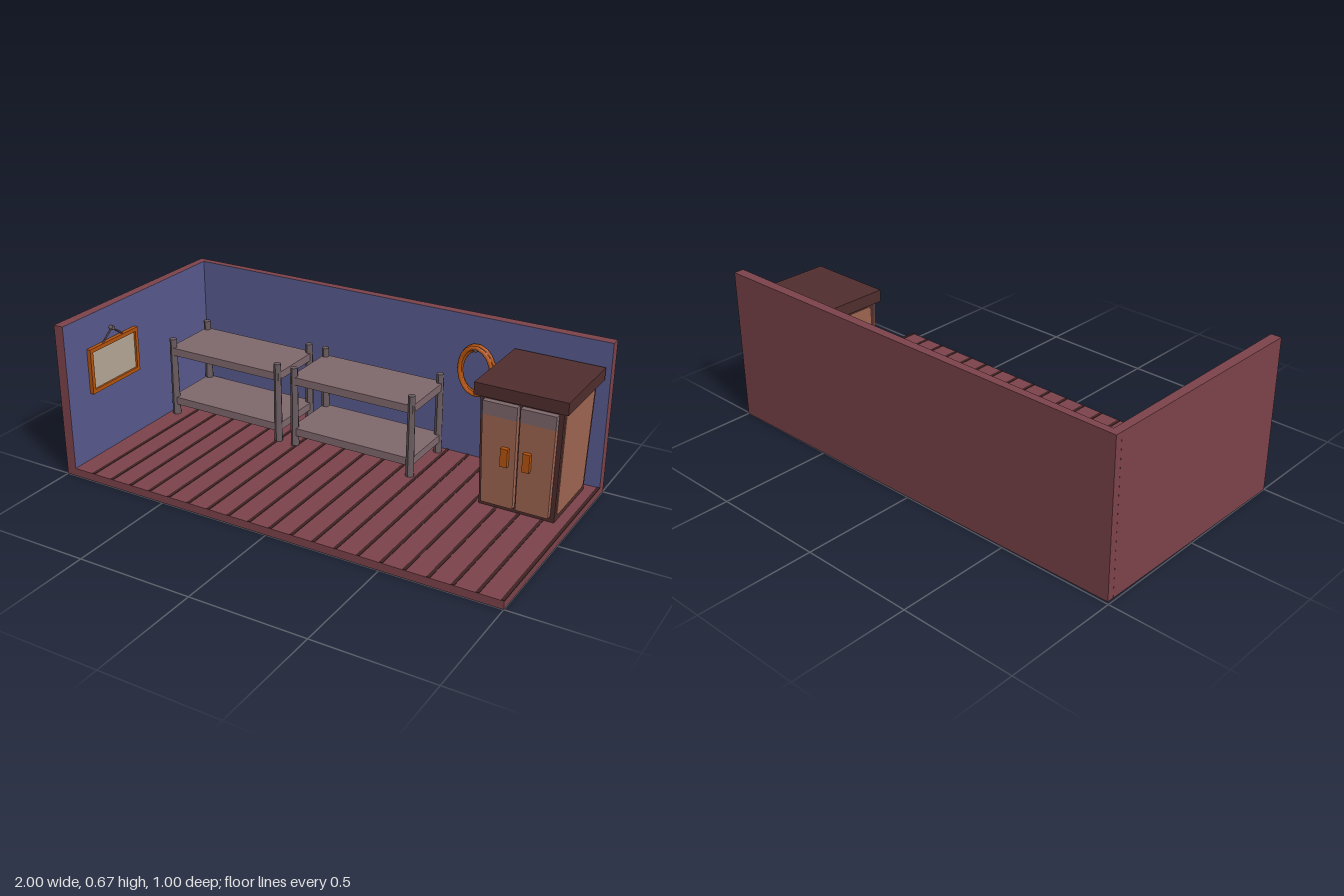
import * as THREE from 'three';

const mat = (name, color) => {
  const m = new THREE.MeshStandardMaterial({ color });
  m.name = name;
  return m;
};

export function createModel() {
  const maroon = mat('maroon wood', 0x7c434a);
  const groove = mat('dark groove', 0x3f2224);
  const blue = mat('blue wall', 0x585a8e);
  const darkWood = mat('dark wood', 0x502d2d);
  const panelWood = mat('panel wood', 0xa06652);
  const orange = mat('orange', 0xb4540f);
  const shelfGrey = mat('mauve grey', 0x7f686d);
  const postGrey = mat('post grey', 0x6a5c61);
  const canvas = mat('canvas', 0xb5a797);

  const root = new THREE.Group();
  root.name = 'room';
  const group = (name, parent = root) => {
    const g = new THREE.Group();
    g.name = name;
    parent.add(g);
    return g;
  };
  const add = (name, geo, material, parent = root) => {
    const m = new THREE.Mesh(geo, material);
    m.name = name;
    parent.add(m);
    return m;
  };
  // Box from its min and max corners
  const span = (x0, x1, y0, y1, z0, z1) =>
    new THREE.BoxGeometry(x1 - x0, y1 - y0, z1 - z0)
      .translate((x0 + x1) / 2, (y0 + y1) / 2, (z0 + z1) / 2);
  // Move every vertex by a rule
  const warp = (geo, rule) => {
    const p = geo.attributes.position;
    const v = new THREE.Vector3();
    for (let i = 0; i < p.count; i++) {
      rule(v.fromBufferAttribute(p, i));
      p.setXYZ(i, v.x, v.y, v.z);
    }
    geo.computeVertexNormals();
    return geo;
  };
  // Round bar between two points
  const bar = (name, a, b, r, material, parent) => {
    const dir = b.clone().sub(a);
    const m = add(name, new THREE.CylinderGeometry(r, r, dir.length(), 6), material, parent);
    m.position.copy(a).add(b).multiplyScalar(0.5);
    m.quaternion.setFromUnitVectors(new THREE.Vector3(0, 1, 0), dir.normalize());
  };

  // Floor with plank grooves
  add('floor', span(-0.955, 1, 0, 0.035, -0.46, 0.5), maroon);
  const grooves = group('plankGrooves');
  for (let i = 0; i < 20; i++) {
    const x = -0.859 + i * 0.0975;
    add('groove', span(x - 0.007, x + 0.007, 0.032, 0.037, -0.46, 0.499), groove, grooves);
  }

  // Walls, blue on the inside, with slightly skewed outer faces
  add('backWall', warp(span(-0.99, 1, 0, 0.672, -0.5, -0.46), (v) => {
    if (v.z < -0.48) v.z = -0.4975 - 0.0075 * v.x;
  }), [maroon, maroon, maroon, maroon, blue, maroon]);
  add('sideWall', warp(span(-1, -0.955, 0, 0.672, -0.46, 0.5), (v) => {
    if (v.x < -0.98) v.x = -0.995 - 0.01 * v.z;
  }), [blue, maroon, maroon, maroon, maroon, maroon]);

  // Two shelf racks
  for (const [x0, x1] of [[-0.923, -0.368], [-0.283, 0.28]]) {
    const rack = group('shelfRack');
    for (const y of [0.085, 0.325])
      add('shelf', span(x0 - 0.012, x1 + 0.012, y, y + 0.035, -0.435, -0.15), shelfGrey, rack);
    for (const x of [x0, x1]) for (const z of [-0.422, -0.163]) {
      add('post', new THREE.CylinderGeometry(0.016, 0.019, 0.365, 8), postGrey, rack)
        .position.set(x, 0.2175, z);
    }
  }
  root.traverse((o) => { if (o.name === 'post') o.geometry.computeVertexNormals(); });

  // Cabinet, widening slightly towards the top
  const cabinet = group('cabinet');
  cabinet.position.set(0.785, 0, -0.258);
  const flare = (geo) => warp(geo, (v) => {
    const s = 1 + 0.07 * (v.y - 0.04) / 0.48;
    v.x *= s;
    v.z *= s;
  });
  // Panel with clipped corners, facing +z
  const clipped = (w, y0, y1, depth, c) => {
    const h = w / 2;
    const s = new THREE.Shape([[-h + c, y0], [h - c, y0], [h, y0 + c], [h, y1 - c],
      [h - c, y1], [-h + c, y1], [-h, y1 - c], [-h, y0 + c]].map(([x, y]) => new THREE.Vector2(x, y)));
    return new THREE.ExtrudeGeometry(s, { depth, bevelEnabled: false });
  };
  add('body', flare(span(-0.16, 0.16, 0.035, 0.522, -0.16, 0.16)), darkWood, cabinet);
  add('top', span(-0.19, 0.195, 0.518, 0.57, -0.192, 0.196), darkWood, cabinet);
  for (const side of [-1, 1]) {
    add('sidePanel', flare(clipped(0.284, 0.06, 0.503, 0.006, 0.012)
      .translate(0, 0, 0.157).rotateY(side * Math.PI / 2)), panelWood, cabinet);
    const x = side * 0.074;
    add('door', flare(span(x - 0.068, x + 0.068, 0.06, 0.445, 0.155, 0.184)), panelWood, cabinet);
    add('doorTop', flare(span(x - 0.068, x + 0.068, 0.445, 0.503, 0.155, 0.184)), shelfGrey, cabinet);
    add('handle', span(side * 0.046 - 0.015, side * 0.046 + 0.015, 0.247, 0.325, 0.18, 0.21), orange, cabinet);
  }

  // Coiled rope hanging on a peg
  const coil = group('ropeCoil');
  coil.position.set(0.435, 0.44, -0.44);
  [[0.077, 0.107, -0.009, 0.03], [0.069, 0.097, 0.002, -0.06], [0.073, 0.104, 0.01, 0.06]]
    .forEach(([rx, ry, z, tilt]) => {
      const ring = add('ropeLoop', warp(new THREE.TorusGeometry(1, 0.01, 6, 18), (v) => {
        const a = Math.atan2(v.y, v.x);
        const d = Math.hypot(v.x, v.y) - 1;
        v.x = Math.cos(a) * (rx + d);
        v.y = Math.sin(a) * (ry + d);
      }), orange, coil);
      ring.position.z = z;
      ring.rotation.z = tilt;
    });
  add('peg', new THREE.CylinderGeometry(0.008, 0.008, 0.04, 8).rotateX(Math.PI / 2), postGrey, coil)
    .position.set(0, 0.096, 0);

  // Framed picture on the side wall
  const picture = group('picture');
  add('canvas', span(-0.955, -0.946, 0.34, 0.52, 0.07, 0.36), canvas, picture);
  for (const [y0, y1] of [[0.33, 0.347], [0.513, 0.53]])
    add('frameRail', span(-0.955, -0.937, y0, y1, 0.06, 0.37), orange, picture);
  for (const [z0, z1] of [[0.06, 0.077], [0.353, 0.37]])
    add('frameStile', span(-0.955, -0.937, 0.347, 0.513, z0, z1), orange, picture);
  const nail = new THREE.Vector3(-0.946, 0.576, 0.215);
  for (const z of [0.147, 0.283])
    bar('cord', new THREE.Vector3(-0.946, 0.525, z), nail, 0.0035, postGrey, picture);
  add('nail', new THREE.CylinderGeometry(0.01, 0.01, 0.02, 8).rotateZ(Math.PI / 2), postGrey, picture)
    .position.copy(nail);

  return root;
}
